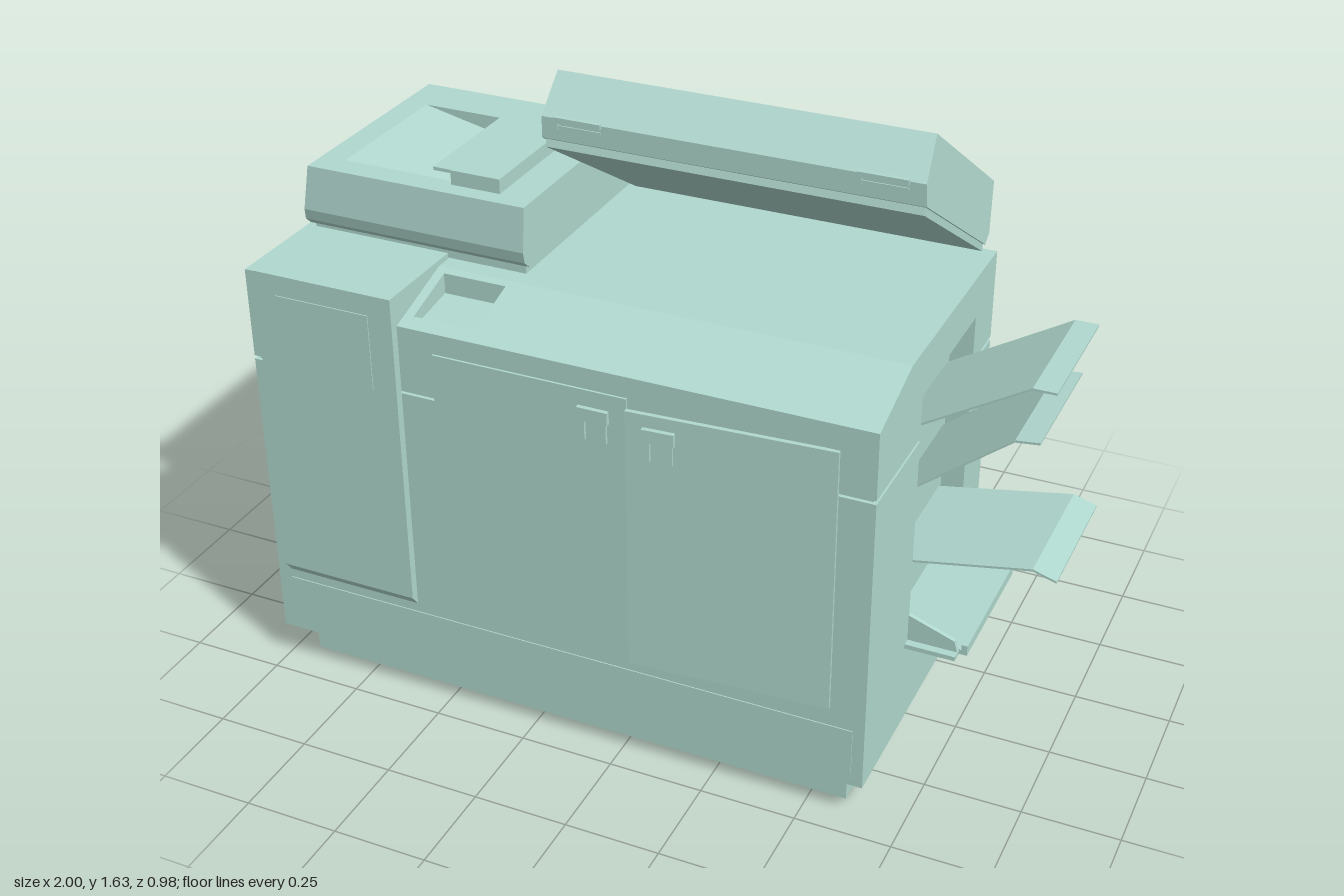
import * as THREE from 'three';

export function createModel() {
  const model = new THREE.Group();
  const mat = new THREE.MeshStandardMaterial({ color: 0xb0d8ce, flatShading: true, side: THREE.DoubleSide });

  const add = (name, geo, parent = model) => {
    const m = new THREE.Mesh(geo, mat);
    m.name = name;
    parent.add(m);
    return m;
  };
  // box from its limits
  const box = (name, x0, x1, y0, y1, z0, z1, parent) =>
    add(name, new THREE.BoxGeometry(x1 - x0, y1 - y0, z1 - z0)
      .translate((x0 + x1) / 2, (y0 + y1) / 2, (z0 + z1) / 2), parent);
  const extrude = (pts, depth) => new THREE.ExtrudeGeometry(
    new THREE.Shape(pts.map(p => new THREE.Vector2(p[0], p[1]))), { depth, bevelEnabled: false });
  // side profile of [z, y] points, swept from x0 to x1
  const sideProfile = (name, pts, x0, x1) => add(name,
    extrude(pts.map(([z, y]) => [-z, y]), x1 - x0).rotateY(Math.PI / 2).translate(x0, 0, 0));
  // front profile of [x, y] points, swept from z0 to z1
  const frontProfile = (name, pts, z0, z1) => add(name, extrude(pts, z1 - z0).translate(0, 0, z0));
  // move the x of vertices by a rule
  const shiftX = (mesh, rule) => {
    const p = mesh.geometry.attributes.position;
    for (let i = 0; i < p.count; i++) p.setX(i, rule(p.getX(i), p.getY(i), p.getZ(i)));
    mesh.geometry.computeVertexNormals();
  };

  // plinth
  box('plinth', -0.94, 0.59, 0, 0.1, -0.35, 0.38);

  // cabinet: lower and upper halves with a seam groove, and a recess in the right end
  const B = -0.41, F = 0.44, S0 = 0.915, S1 = 0.925;
  box('lowerCabinet', -1, 0.59, 0.1, S0, B, F);
  sideProfile('lowerRightEnd', [[B, 0.1], [F, 0.1], [F, S0], [0.14, S0], [0.14, 0.34],
    [-0.26, 0.34], [-0.26, S0], [B, S0]], 0.59, 0.65);
  box('seamCore', -0.99, 0.589, S0, S1, B + 0.01, F - 0.01);
  box('seamCoreFront', 0.58, 0.64, S0, S1, 0.14, F - 0.01);
  box('seamCoreBack', 0.58, 0.64, S0, S1, B + 0.01, -0.26);

  const slope = [[F, 1.1], [0.23, 1.165], [B, 1.165]];
  const bottom = [[B, S1], [F, S1]];
  box('upperLeftTower', -1, -0.575, S1, 1.165, B, F);
  sideProfile('upperCabinetEdge', [...bottom, ...slope], -0.575, -0.55);
  sideProfile('controlRecess', [...bottom, [F, 1.1], [0.4, 1.112], [0.4, 1.085], [0.25, 1.105],
    [0.25, 1.159], [0.23, 1.165], [B, 1.165]], -0.55, -0.38);
  sideProfile('upperCabinet', [...bottom, ...slope], -0.38, 0.59);
  sideProfile('upperRightEnd', [[B, S1], [-0.26, S1], [-0.26, 1.05], [0.14, 1.05], [0.14, S1],
    [F, S1], ...slope], 0.59, 0.65);

  // thin panels on the cabinet
  sideProfile('towerDoor', [[0.185, 1.16], [0.185, 1.18], [0.463, 1.18], [0.463, 0.32], [0.44, 0.29], [0.44, 1.16]], -0.96, -0.575);
  box('towerWindow', -0.9, -0.64, 0.92, 1.125, 0.46, 0.466);
  box('kickPanel', -0.96, 0.62, 0.125, 0.265, 0.435, 0.443);
  box('leftSidePanel', -1.003, -0.99, 0.18, 1.08, -0.35, -0.09);

  // front doors; the right one is ajar
  const latch = (x, z, parent) => {
    box('latchBar', x - 0.04, x + 0.04, 0.968, 1.002, z, z + 0.012, parent);
    for (const s of [-1, 1])
      box('latchProng', x + s * 0.028 - 0.007, x + s * 0.028 + 0.007, 0.915, 0.968, z, z + 0.008, parent);
  };
  box('leftDoor', -0.48, 0.035, 0.32, 1.045, 0.435, 0.446);
  latch(-0.05, 0.446);
  const door = new THREE.Group();
  door.name = 'rightDoor';
  door.position.set(0.56, 0, 0.438);
  door.rotation.y = 0.058;
  model.add(door);
  box('rightDoorPanel', -0.515, 0, 0.32, 1.035, 0, 0.012, door);
  latch(-0.43, 0.012, door);

  // raised scanner lid
  const taper = (x, y, z) => x > 0.6 ? x - 0.09 * Math.max(0, (y - 1.475 - (z - 0.1) * 0.626) / 1.18) : x;
  shiftX(sideProfile('scannerLid', [[0.1, 1.495], [0.1, 1.55], [0.01, 1.635], [-0.49, 1.315],
    [-0.44, 1.195], [-0.4, 1.182]], -0.345, 0.622), taper);
  sideProfile('lidPlaten', [[0.092, 1.492], [0.098, 1.472], [-0.395, 1.165], [-0.4, 1.184]], -0.338, 0.615);
  const onLid = (t, h) => [0.01 - 0.842 * t - 0.539 * h, 1.635 - 0.539 * t + 0.842 * h];
  sideProfile('lidTopPanel', [onLid(0.035, -0.01), onLid(0.035, 0.004), onLid(0.57, 0.004), onLid(0.57, -0.01)], -0.31, 0.575);
  for (const x of [-0.25, 0.515]) {
    box('lidHandle', x - 0.062, x + 0.062, 1.542, 1.555, 0.08, 0.107);
    box('lidHandleFoot', x - 0.062, x - 0.05, 1.525, 1.545, 0.09, 0.106);
    box('lidHandleSlot', x - 0.05, x + 0.062, 1.528, 1.534, 0.09, 0.103);
  }

  // document feeder: rounded front and back strips around a sloping paper tray
  box('feederPlinth', -0.96, -0.36, 1.16, 1.19, -0.405, 0.18);
  const lean = (x, y) => x < -0.9 ? x + (y - 1.19) * 0.11 : x;
  const feeder = [
    sideProfile('feederFront', [[0.13, 1.185], [0.18, 1.185], [0.203, 1.205], [0.21, 1.235],
      [0.197, 1.35], [0.13, 1.35]], -0.975, -0.35),
    sideProfile('feederBack', [[-0.27, 1.185], [-0.39, 1.185], [-0.408, 1.205], [-0.412, 1.235],
      [-0.4, 1.35], [-0.27, 1.35]], -0.975, -0.35),
    frontProfile('feederTray', [[-0.975, 1.185], [-0.35, 1.185], [-0.35, 1.35], [-0.575, 1.35],
      [-0.575, 1.28], [-0.89, 1.35], [-0.975, 1.35]], -0.27, 0.13)];
  feeder.forEach(m => shiftX(m, lean));
  box('feederCover', -0.575, -0.44, 1.35, 1.388, -0.28, 0.15);
  box('feederFlap', -0.635, -0.575, 1.37, 1.379, -0.26, 0.13);

  // output trays: thin bent sheets
  const trays = [
    [[0.59, 0.914], [0.65, 0.95], [0.9, 1.1], [0.958, 1.1]],
    [[0.59, 0.732], [0.65, 0.78], [0.87, 0.955], [0.93, 0.962]],
    [[0.59, 0.549], [0.65, 0.56], [0.94, 0.615], [1.0, 0.597]]];
  for (const t of trays)
    frontProfile('outputTray', [...t, ...t.map(([x, y]) => [x, y + 0.006]).reverse()], -0.245, 0.118);

  // lower tray with side guides
  box('lowerTray', 0.59, 0.8, 0.332, 0.345, -0.255, 0.13);
  box('lowerTrayLip', 0.785, 0.8, 0.345, 0.36, -0.255, 0.13);
  for (const s of [-1, 1]) {
    const z = -0.0625 + s * 0.2;
    frontProfile('trayGuide', [[0.645, 0.34], [0.78, 0.34], [0.77, 0.375], [0.645, 0.42]], z - 0.006, z + 0.006);
    const outer = -0.0625 + s * 0.2125;
    box('trayFlange', 0.64, 0.78, 0.333, 0.345, outer - 0.015, outer + 0.015);
  }
  return model;
}
